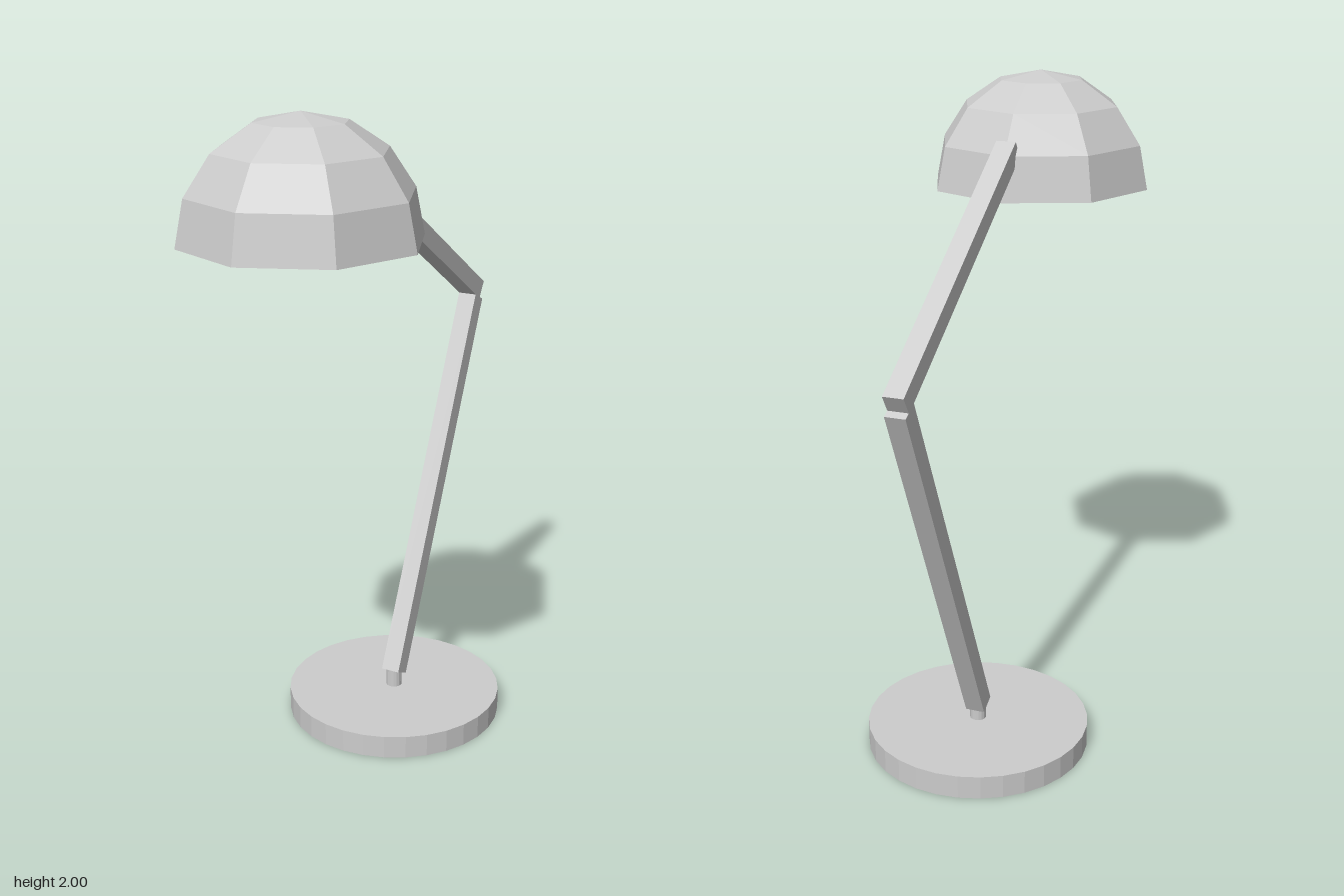
import * as THREE from 'three';

const grey = new THREE.MeshStandardMaterial({ color: 0xcccccc, flatShading: true });
grey.name = 'light grey';

function part(name, geometry, x, y, z) {
  const mesh = new THREE.Mesh(geometry, grey);
  mesh.name = name;
  mesh.position.set(x, y, z);
  return mesh;
}

// Square bar between two points [z, y] in the middle plane
function bar(name, [z0, y0], [z1, y1], width) {
  const dz = z1 - z0, dy = y1 - y0;
  const mesh = part(name, new THREE.BoxGeometry(width, Math.hypot(dz, dy), width), 0, (y0 + y1) / 2, (z0 + z1) / 2);
  mesh.rotation.x = Math.atan2(dz, dy);
  return mesh;
}

// Quarter-circle profile from rim to crown
function arc(radius, steps) {
  return Array.from({ length: steps + 1 }, (_, i) => {
    const a = (i / steps) * Math.PI / 2;
    return new THREE.Vector2(i === steps ? 0 : radius * Math.cos(a), radius * Math.sin(a));
  });
}

export function createModel() {
  const lamp = new THREE.Group();
  lamp.name = 'deskLamp';

  // Round foot and the short pin that carries the arm
  lamp.add(part('base', new THREE.CylinderGeometry(0.342, 0.342, 0.072, 32), 0, 0.036, -0.154));
  lamp.add(part('pin', new THREE.CylinderGeometry(0.025, 0.025, 0.06, 16), 0, 0.1, -0.154));

  // Two straight arm sections
  lamp.add(bar('lowerArm', [-0.153, 0.119], [-0.694, 1.268], 0.06));
  lamp.add(bar('upperArm', [-0.714, 1.287], [0.101, 1.805], 0.06));

  // Eight-sided hollow dome: outside up, inside down, closed at the rim
  const outer = arc(0.342, 4);
  const inner = arc(0.322, 4).reverse();
  const profile = [...outer, ...inner, outer[0].clone()];
  lamp.add(part('shade', new THREE.LatheGeometry(profile, 8), 0, 1.658, 0.386));

  return lamp;
}
